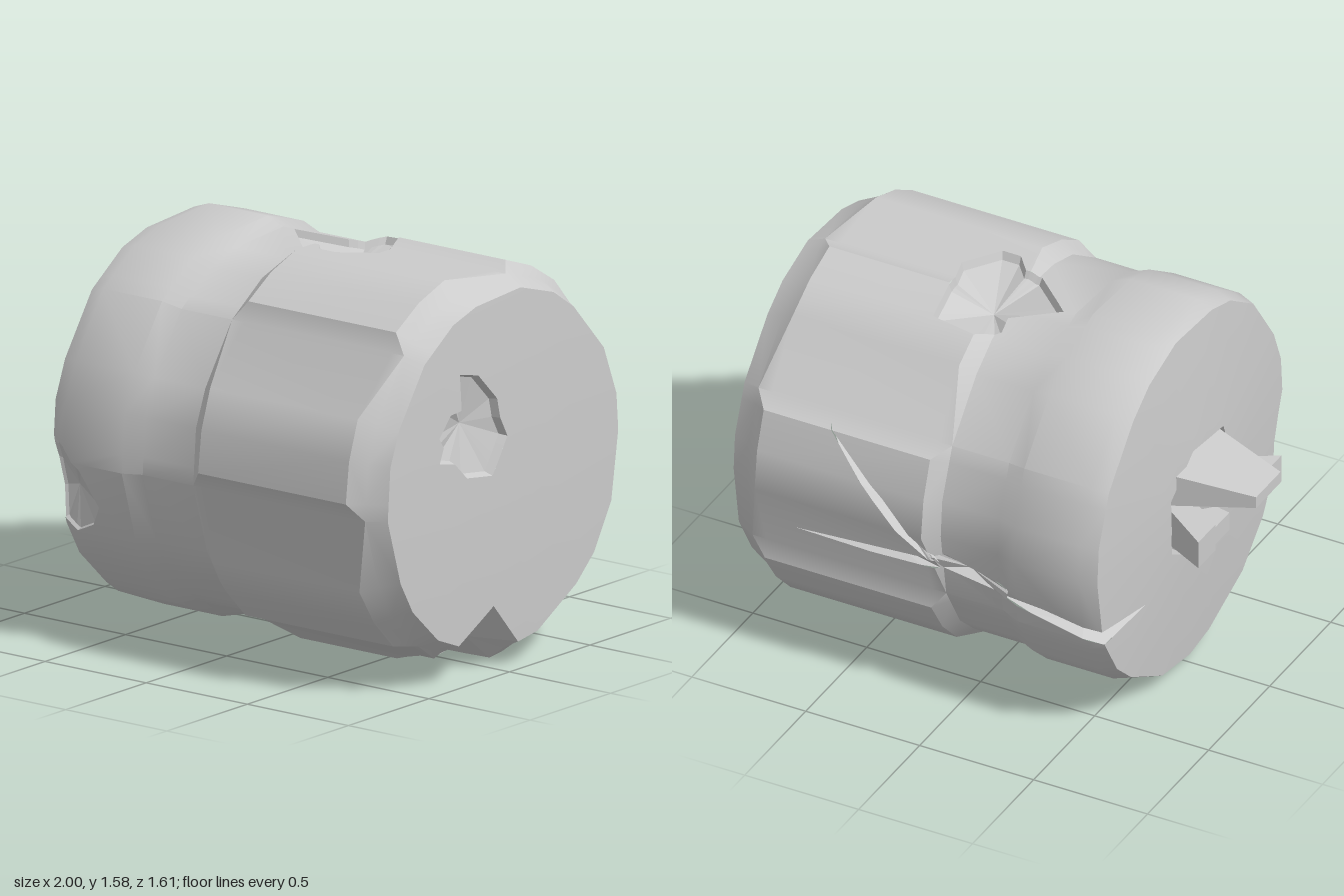
import * as THREE from 'three';
import { toCreasedNormals } from 'three/addons/utils/BufferGeometryUtils.js';

const V = (x, y, z) => new THREE.Vector3(x, y, z);
const AXIS_Y = 0.805, FLUTES = 7, DEG = Math.PI / 180;

// Profile along the drum axis: x, radius of the drum, radius of the raised staves
const ROWS = [
  [-0.695, 0, 0], [-0.69, 0.3, 0.3], [-0.65, 0.765, 0.765], [-0.58, 0.79, 0.79], [-0.29, 0.79, 0.79],
  [-0.21, 0.76, 0.76], [0.04, 0.76, 0.76], [0.1, 0.76, 0.803], [0.83, 0.76, 0.803],
  [0.89, 0.76, 0.76], [0.97, 0.72, 0.72], [1.0, 0, 0],
];
// Columns of one stave: base edge, top edge, middle, top edge (degrees)
const COLS = [-17.14, -12, 0, 12];

// Turned drum with seven raised staves, as a list of corners with normals
function buildDrum() {
  const n = FLUTES * COLS.length;
  const at = (i, j) => {
    const c = ((j % n) + n) % n, k = c % 4;
    const [x, base, top] = ROWS[i];
    const a = (-90 + Math.floor(c / 4) * 360 / FLUTES + COLS[k]) * DEG;
    let r = k === 0 ? base : top;
    if (k % 2 && base === top) r *= 0.9906; // stays on the flat side
    return V(x, AXIS_Y + r * Math.sin(a), r * Math.cos(a));
  };
  const pos = [];
  const tri = (a, b, c) => {
    if (b.clone().sub(a).cross(c.clone().sub(a)).length() > 1e-7)
      for (const p of [a, b, c]) pos.push(p.x, p.y, p.z);
  };
  for (let i = 0; i < ROWS.length - 1; i++)
    for (let j = 0; j < n; j++) {
      const a = at(i, j), b = at(i + 1, j), c = at(i + 1, j + 1), d = at(i, j + 1);
      // fold the chamfer corners from the base edge to the top edge
      if ((j % 4 === 3) !== (i === 8)) { tri(a, b, d); tri(b, c, d); }
      else { tri(a, b, c); tri(a, c, d); }
    }
  let g = new THREE.BufferGeometry();
  g.setAttribute('position', new THREE.Float32BufferAttribute(pos, 3));
  g = toCreasedNormals(g, 0.5);
  const P = g.attributes.position, N = g.attributes.normal, tris = [];
  for (let i = 0; i < P.count; i += 3)
    tris.push([0, 1, 2].map(k => ({
      p: V().fromBufferAttribute(P, i + k), n: V().fromBufferAttribute(N, i + k),
    })));
  return tris;
}

const cross2 = (a, b, p) => (b.x - a.x) * (p.y - a.y) - (b.y - a.y) * (p.x - a.x);

// Keep the part of a polygon where f is positive
function clip(poly, f) {
  const out = [];
  poly.forEach((a, i) => {
    const b = poly[(i + 1) % poly.length], fa = f(a), fb = f(b);
    if (fa >= 0) out.push(a);
    if ((fa > 0 && fb < 0) || (fa < 0 && fb > 0)) {
      const t = fa / (fa - fb);
      out.push({ p: a.p.clone().lerp(b.p, t), n: a.n.clone().lerp(b.n, t).normalize() });
    }
  });
  return out.length > 2 ? out : [];
}

// Cut an outline out of the skin along a direction and line the hole with a
// short wall and a floor that runs to one deep point
function carve(skin, chips, dir, outline, floor, wall = 0) {
  const n = V(...dir).normalize();
  const u = (Math.abs(n.y) > 0.9 ? V(0, 0, 1) : V(0, 1, 0)).cross(n).normalize();
  const v = n.clone().cross(u);
  const flat = p => ({ x: p.dot(u), y: p.dot(v) });
  const deep = V(...floor), c = flat(deep);
  let pts = outline.map(o => V(...o));
  let area = 0;
  pts.forEach((p, i) => { area += cross2(c, flat(p), flat(pts[(i + 1) % pts.length])); });
  if (area < 0) pts.reverse();
  const facing = t => t[1].p.clone().sub(t[0].p).cross(t[2].p.clone().sub(t[0].p)).normalize().dot(n) > 0.03;

  // drop a rim point onto the skin
  const lift = p => {
    const q = flat(p);
    let best = null, h = -9;
    for (const t of skin) {
      if (!facing(t)) continue;
      const [A, B, C] = t.map(k => flat(k.p)), s = cross2(A, B, C);
      const w = [cross2(B, C, q) / s, cross2(C, A, q) / s, cross2(A, B, q) / s];
      if (Math.min(...w) < -1e-4) continue;
      const r = V(0, 0, 0);
      t.forEach((k, i) => r.addScaledVector(k.p, w[i]));
      if (r.dot(n) > h) { h = r.dot(n); best = r; }
    }
    return best || p.clone();
  };
  const rim = [];
  pts.forEach((p, i) => {
    for (let k = 0; k < 4; k++) rim.push(lift(p.clone().lerp(pts[(i + 1) % pts.length], k / 4)));
  });
  const inner = rim.map(p => p.clone().lerp(deep, wall ? 0.06 : 0).addScaledVector(n, -wall));
  rim.forEach((a, i) => {
    const j = (i + 1) % rim.length;
    if (wall) chips.push(a, rim[j], inner[j], a, inner[j], inner[i]);
    chips.push(inner[i], inner[j], deep);
  });

  // remove the skin inside each wedge of the outline
  pts.forEach((p, i) => {
    const w = [c, flat(p), flat(pts[(i + 1) % pts.length])];
    if (cross2(...w) <= 0) return;
    const old = skin.splice(0);
    for (const t of old) {
      let rest = facing(t) ? t : [];
      const kept = [];
      for (let k = 0; k < 3 && rest.length; k++) {
        const side = s => cross2(w[k], w[(k + 1) % 3], flat(s.p));
        const out = clip(rest, s => -side(s));
        for (let m = 1; m + 1 < out.length; m++) kept.push([out[0], out[m], out[m + 1]]);
        rest = clip(rest, side);
      }
      if (rest.length) skin.push(...kept); else skin.push(t);
    }
  });
}

// Tapered splinter: root and tip are [x, yMin, yMax, zMin, zMax]
function splinter(root, tip, material) {
  const g = new THREE.BoxGeometry(1, 1, 1), p = g.attributes.position;
  for (let i = 0; i < p.count; i++) {
    const e = p.getX(i) > 0 ? root : tip;
    p.setXYZ(i, e[0], p.getY(i) > 0 ? e[2] : e[1], p.getZ(i) > 0 ? e[4] : e[3]);
  }
  g.computeVertexNormals();
  const m = new THREE.Mesh(g, material);
  m.name = 'splinter';
  return m;
}

export function createModel() {
  const group = new THREE.Group();
  group.name = 'brokenDrum';
  const smooth = new THREE.MeshStandardMaterial({ color: 0xcccccc });
  const rough = new THREE.MeshStandardMaterial({ color: 0xcccccc, flatShading: true, side: THREE.DoubleSide });
  const skin = buildDrum(), chips = [];

  // pit in the domed end
  carve(skin, chips, [1, 0, 0], [
    [0.28, 1.25], [0.17, 1.225], [0.06, 1.11], [0.045, 1.03], [0.005, 0.95], [0.1, 0.81], [0.25, 0.83],
    [0.32, 0.9], [0.41, 0.92], [0.385, 0.98], [0.41, 1.02], [0.34, 1.1], [0.275, 1.105],
  ].map(([z, y]) => [0.98, y, z]), [0.91, 1.03, 0.2], 0.03);
  // pit on top
  carve(skin, chips, [0, 1, 0], [
    [0.1, -0.37], [0.29, -0.35], [0.3, -0.2], [0.34, -0.02], [0.23, 0.11], [0.15, 0.11], [0.09, 0.04],
    [0.03, 0.06], [-0.16, -0.12], [0.03, -0.22], [0.02, -0.29],
  ].map(([x, z]) => [x, 1.55, z]), [0.14, 1.45, -0.13], 0.025);
  // chipped lower edge of the domed end
  carve(skin, chips, [1, -1, 0], [
    [0.985, 0.27, 0.07], [0.97, 0.15, 0.29], [0.8, 0.07, 0.29], [0.56, 0.02, 0.16],
    [0.6, 0.02, -0.08], [0.97, 0.1, -0.09],
  ], [0.83, 0.13, 0.06]);
  // chipped rim at the front of the broken end
  carve(skin, chips, [-1, 0, 1], [
    [-0.65, 0.83, 0.76], [-0.58, 0.8, 0.78], [-0.51, 0.72, 0.78], [-0.46, 0.57, 0.75], [-0.5, 0.49, 0.72],
    [-0.58, 0.45, 0.7], [-0.65, 0.49, 0.68], [-0.66, 0.62, 0.69], [-0.655, 0.74, 0.72],
  ], [-0.59, 0.63, 0.67], 0.01);
  // forked crack along the back
  carve(skin, chips, [-1, 0, -1], [
    [-0.69, 0.52, -0.42], [-0.65, 0.5, -0.7], [-0.25, 0.61, -0.76], [-0.25, 0.65, -0.76], [-0.65, 0.57, -0.72],
  ], [-0.55, 0.55, -0.68]);
  carve(skin, chips, [0, 0, -1], [
    [-0.25, 0.61], [0.04, 0.66], [0.08, 0.72], [0.02, 0.73], [-0.25, 0.65],
  ].map(([x, y]) => [x, y, -0.75]), [-0.06, 0.67, -0.69]);
  carve(skin, chips, [0, 0, -1], [
    [0.04, 0.7], [0.09, 0.7], [0.32, 0.92], [0.55, 1.16], [0.28, 0.94],
  ].map(([x, y]) => [x, y, -0.76]), [0.26, 0.89, -0.74]);
  carve(skin, chips, [0, 0, -1], [
    [0.05, 0.66], [0.35, 0.645], [0.68, 0.655], [0.35, 0.685], [0.07, 0.71],
  ].map(([x, y]) => [x, y, -0.75]), [0.25, 0.672, -0.7]);
  // socket in the broken end
  carve(skin, chips, [-1, 0, 0], [
    [-0.23, 0.9], [-0.05, 1.03], [0.2, 1.0], [0.27, 0.8], [0.15, 0.6], [-0.05, 0.55], [-0.22, 0.65],
  ].map(([z, y]) => [-0.69, y, z]), [-0.52, 0.8, 0], 0.08);

  const g = new THREE.BufferGeometry(), corners = skin.flat();
  g.setAttribute('position', new THREE.Float32BufferAttribute(corners.flatMap(k => k.p.toArray()), 3));
  g.setAttribute('normal', new THREE.Float32BufferAttribute(corners.flatMap(k => k.n.toArray()), 3));
  const drum = new THREE.Mesh(g, smooth);
  drum.name = 'drum';
  const cg = new THREE.BufferGeometry().setFromPoints(chips);
  cg.computeVertexNormals();
  const damage = new THREE.Mesh(cg, rough);
  damage.name = 'chipsAndCracks';
  group.add(drum, damage);

  // snapped core sticking out of the socket
  const core = new THREE.Group();
  core.name = 'snappedCore';
  core.add(splinter([-0.56, 0.84, 1.01, -0.22, 0.22], [-1, 0.9, 0.95, -0.11, 0.09], rough));
  core.add(splinter([-0.56, 0.6, 0.68, -0.14, 0.14], [-0.77, 0.6, 0.68, -0.1, 0.1], rough));
  for (const s of [-1, 1]) {
    const far = s < 0 ? [-0.36, -0.22] : [0.2, 0.32];
    const near = s < 0 ? [-0.16, -0.02] : [0.02, 0.16];
    core.add(splinter([-0.6, 0.67, 0.85, ...near], [-0.88, 0.73, 0.85, ...far], rough));
  }
  group.add(core);
  return group;
}
